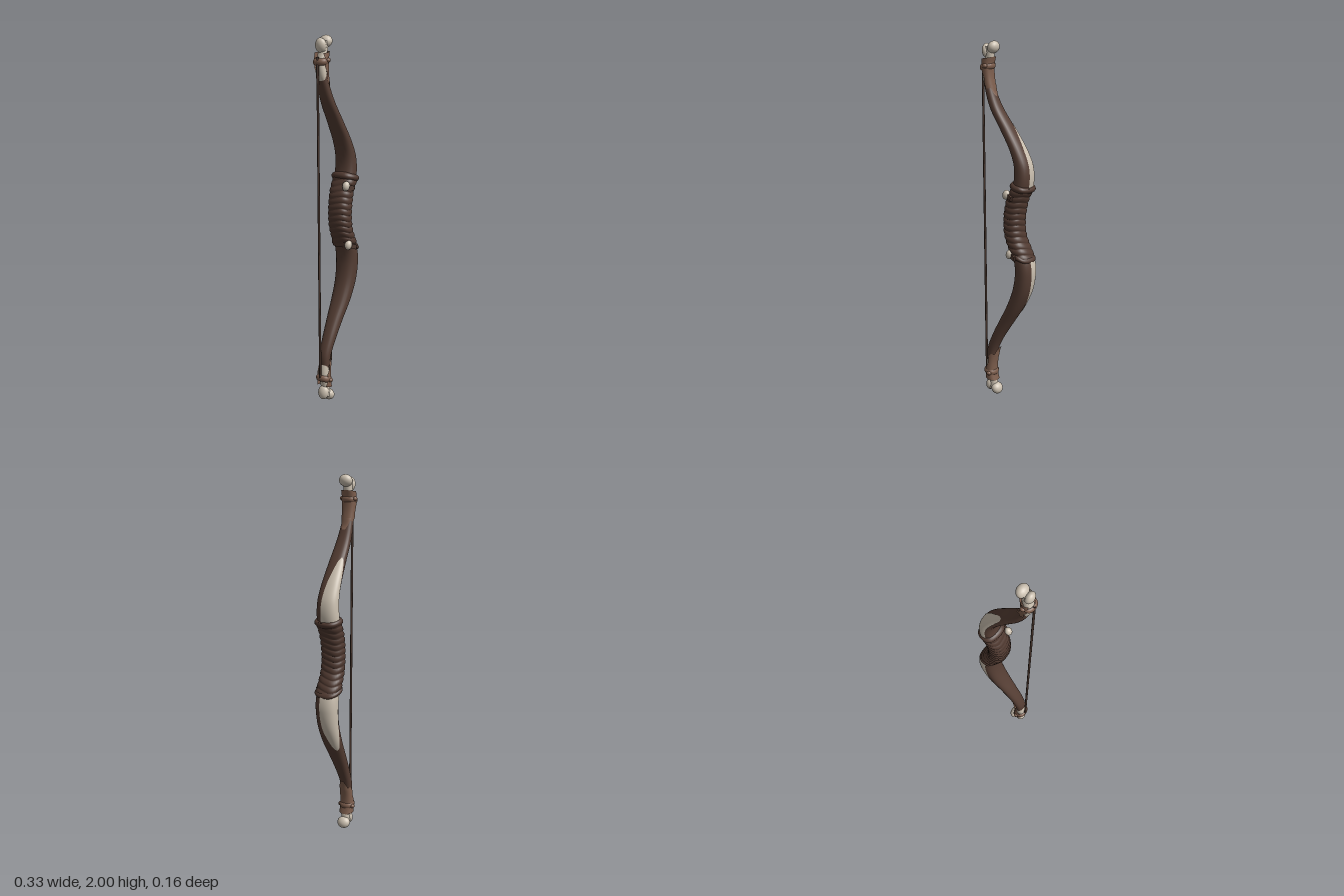
import * as THREE from 'three';
import { mergeVertices } from 'three/addons/utils/BufferGeometryUtils.js';

const mat = (name, color, side = THREE.FrontSide) => {
  const m = new THREE.MeshStandardMaterial({ color, side });
  m.name = name;
  return m;
};

// Horizontal cross-sections of the bow body: y, centre x, half width x, half depth z, centre z
const BODY = [
  [0.20, -0.108, 0.020, 0.029, 0], [0.27, -0.098, 0.029, 0.033, 0],
  [0.35, -0.064, 0.034, 0.037, 0], [0.45, -0.008, 0.041, 0.044, -0.003],
  [0.55, 0.050, 0.046, 0.053, -0.005], [0.65, 0.093, 0.050, 0.058, -0.006],
  [0.75, 0.111, 0.050, 0.062, -0.007], [0.82, 0.106, 0.049, 0.063, -0.007],
  [0.88, 0.083, 0.048, 0.060, -0.006], [0.96, 0.050, 0.046, 0.058, -0.005],
  [1.05, 0.043, 0.046, 0.058, -0.005], [1.15, 0.058, 0.047, 0.060, -0.006],
  [1.24, 0.094, 0.047, 0.063, -0.007], [1.34, 0.098, 0.043, 0.060, -0.007],
  [1.43, 0.066, 0.038, 0.055, -0.006], [1.54, 0.000, 0.035, 0.047, -0.003],
  [1.65, -0.070, 0.030, 0.040, 0], [1.75, -0.110, 0.024, 0.032, 0],
  [1.80, -0.120, 0.020, 0.028, 0],
];

// Smooth section at height y
function sectionAt(list, y) {
  let i = 0;
  while (i < list.length - 2 && y > list[i + 1][0]) i++;
  const at = k => list[Math.min(Math.max(k, 0), list.length - 1)];
  const [p, a, b, q] = [at(i - 1), at(i), at(i + 1), at(i + 2)];
  const h = b[0] - a[0], f = (y - a[0]) / h;
  return [1, 2, 3, 4].map(k => {
    const ma = (b[k] - p[k]) / (b[0] - p[0]) * h, mb = (q[k] - a[k]) / (q[0] - a[0]) * h;
    return a[k] * (1 + 2 * f) * (1 - f) ** 2 + ma * f * (1 - f) ** 2
      + b[k] * f * f * (3 - 2 * f) + mb * f * f * (f - 1);
  });
}

// Skin over the sections; angle 0 faces +x and turns towards -z
function skin(name, material, list, y0, y1, opt = {}) {
  const { rows = 40, cols = 24, grow = () => 0, range = () => [0, Math.PI * 2], tilt = 0 } = opt;
  const pos = [], idx = [];
  const round = v => Math.sign(v) * Math.abs(v) ** 0.85;
  for (let i = 0; i <= rows; i++) {
    const t = i / rows, y = y0 + (y1 - y0) * t;
    const [cx, hx, hz, cz] = sectionAt(list, y), [a0, a1] = range(y, t);
    for (let j = 0; j <= cols; j++) {
      const a = a0 + (a1 - a0) * j / cols, g = grow(y, a, t);
      pos.push(cx + (hx + g) * round(Math.cos(a)), y + tilt * Math.cos(a), cz - (hz + g) * round(Math.sin(a)));
      if (i < rows && j < cols) {
        const k = i * (cols + 1) + j, up = k + cols + 1;
        idx.push(k, k + 1, up, k + 1, up + 1, up);
      }
    }
  }
  let geo = new THREE.BufferGeometry();
  geo.setAttribute('position', new THREE.Float32BufferAttribute(pos, 3));
  geo.setIndex(idx);
  geo = mergeVertices(geo, 1e-5);
  geo.computeVertexNormals();
  const mesh = new THREE.Mesh(geo, material);
  mesh.name = name;
  return mesh;
}

function ellipsoid(name, material, p, r, rotZ = 0) {
  const mesh = new THREE.Mesh(new THREE.SphereGeometry(1, 20, 14), material);
  mesh.position.set(...p);
  mesh.scale.set(...r);
  mesh.rotation.z = rotZ;
  mesh.name = name;
  return mesh;
}

export function createModel() {
  const wood = mat('dark wood', 0x543d33);
  const grip = mat('grip leather', 0x4e382f);
  const hide = mat('tan hide', 0x7d5e4d, THREE.DoubleSide);
  const bone = mat('bone', 0xcbc0b0, THREE.DoubleSide);
  const cord = mat('cord', 0x49362d);
  const bow = new THREE.Group();
  bow.name = 'bow';

  // Limbs in one piece
  bow.add(skin('limbs', wood, BODY, 0.2, 1.8, { rows: 90 }));

  // Bone inlays on the outer rear face, tapering to rounded points
  const inlay = (name, from, to) => {
    const range = y => {
      const f = Math.min(1, Math.abs((y - from) / (to - from)));
      const half = 1.0 * Math.sqrt(Math.max(0, 1 - f ** 2.6));
      return [0.78 - half, 0.78 + half];
    };
    bow.add(skin(name, bone, BODY, Math.min(from, to), Math.max(from, to), { rows: 36, cols: 14, range, grow: () => 0.0025 }));
  };
  inlay('upperInlay', 1.22, 1.57);
  inlay('lowerInlay', 0.84, 0.51);

  // Leather grip with slanted winding ridges
  bow.add(skin('gripWrap', grip, BODY, 0.85, 1.235, {
    rows: 130, cols: 32,
    grow: (y, a) => 0.003 + 0.006 * Math.sqrt(Math.abs(Math.sin(y * 98 + 0.9 * Math.sin(a + 0.6) + 0.5 * Math.sin(3 * a)))),
  }));

  // Thick rims, beads and loose strap ends at both ends of the grip
  for (const [y, tilt, bx, by] of [[1.235, -0.014, 0.024, 1.195], [0.855, -0.018, 0.046, 0.866]]) {
    bow.add(skin('gripRim', grip, BODY, y - 0.02, y + 0.02, {
      rows: 10, cols: 32, tilt,
      grow: (v, a, t) => -0.008 + 0.021 * Math.sqrt(Math.sin(Math.PI * t) + 1e-9) + 0.002 * Math.sin(4 * a),
    }));
    bow.add(ellipsoid('boneBead', bone, [bx, by, 0.05], [0.021, 0.027, 0.02], -0.3));
    const strap = new THREE.Mesh(new THREE.BoxGeometry(0.055, 0.026, 0.012), grip);
    strap.position.set(bx + 0.022, by - 0.008, 0.058);
    strap.rotation.set(0, -0.5, -0.3);
    strap.name = 'strapEnd';
    bow.add(strap);
  }

  // Bone tips with hide wraps; d is the distance from the end of the bow
  const tip = (name, top, shift) => {
    const g = new THREE.Group();
    g.name = name;
    const Y = d => top ? 2 - d : d;
    const list = rows => rows.map(([d, x, ...r]) => [Y(d), x + shift, ...r, 0]).sort((a, b) => a[0] - b[0]);
    const put = (part, m, rows, d0, d1, opt) =>
      g.add(skin(part, m, list(rows), Math.min(Y(d0), Y(d1)), Math.max(Y(d0), Y(d1)), opt));

    // Shaft and two knuckles
    put('boneShaft', bone, [[0.03, -0.11, 0.025, 0.026], [0.09, -0.113, 0.024, 0.024],
      [0.15, -0.127, 0.025, 0.027], [0.21, -0.123, 0.023, 0.029], [0.26, -0.109, 0.018, 0.026]], 0.03, 0.26, { rows: 20 });
    const lean = top ? -0.45 : 0.45;
    g.add(ellipsoid('largeKnuckle', bone, [-0.088 + shift, Y(0.034), 0], [0.029, 0.034, 0.038], lean));
    g.add(ellipsoid('smallKnuckle', bone, [-0.13 + shift, Y(0.055), 0], [0.024, 0.04, 0.032], -lean * 0.3));

    // Hide sheet open on the string side, with an uneven edge
    const sheet = [[0.09, -0.118, 0.034, 0.04], [0.13, -0.124, 0.031, 0.04],
      [0.19, -0.121, 0.029, 0.038], [0.25, -0.112, 0.03, 0.036]];
    put('hideWrap', hide, sheet, 0.09, 0.25, {
      rows: 16, cols: 20, tilt: top ? 0.006 : -0.006,
      range: y => {
        const d = top ? 2 - y : y, w = 2.3 - 5 * (d - 0.09) + 0.12 * Math.sin(d * 90);
        return [-w, w];
      },
    });

    // Short bone tongue showing past the wrap
    put('boneTongue', hide, list(BODY.map(b => [b[0], b[1], b[2], b[3]])).length ? [[0.23, -0.112, 0.03, 0.034],
      [0.27, -0.103, 0.029, 0.035], [0.3, -0.09, 0.031, 0.037]] : [], 0.23, 0.29, {
      rows: 8, cols: 12,
      range: y => {
        const w = 1.1 * (1 - ((top ? 2 - y : y) - 0.23) / 0.075);
        return [-w, w];
      },
    });

    // Binding band with side knots
    put('binding', hide, [[0.115, -0.125, 0.032, 0.037], [0.16, -0.127, 0.032, 0.037]], 0.118, 0.155, {
      rows: 10, tilt: top ? 0.004 : -0.004,
      grow: (y, a, t) => -0.006 + 0.012 * Math.sqrt(Math.sin(Math.PI * t) + 1e-9),
    });
    for (const s of [-1, 1]) g.add(ellipsoid('knot', hide, [-0.118 + shift, Y(0.13), s * 0.04], [0.014, 0.012, 0.012]));
    bow.add(g);
  };
  tip('upperTip', true, 0);
  tip('lowerTip', false, 0.016);

  // Bowstring
  const path = new THREE.LineCurve3(new THREE.Vector3(-0.142, 0.14, 0), new THREE.Vector3(-0.157, 1.885, 0));
  const string = new THREE.Mesh(new THREE.TubeGeometry(path, 8, 0.0065, 8), cord);
  string.name = 'bowstring';
  bow.add(string);
  return bow;
}
